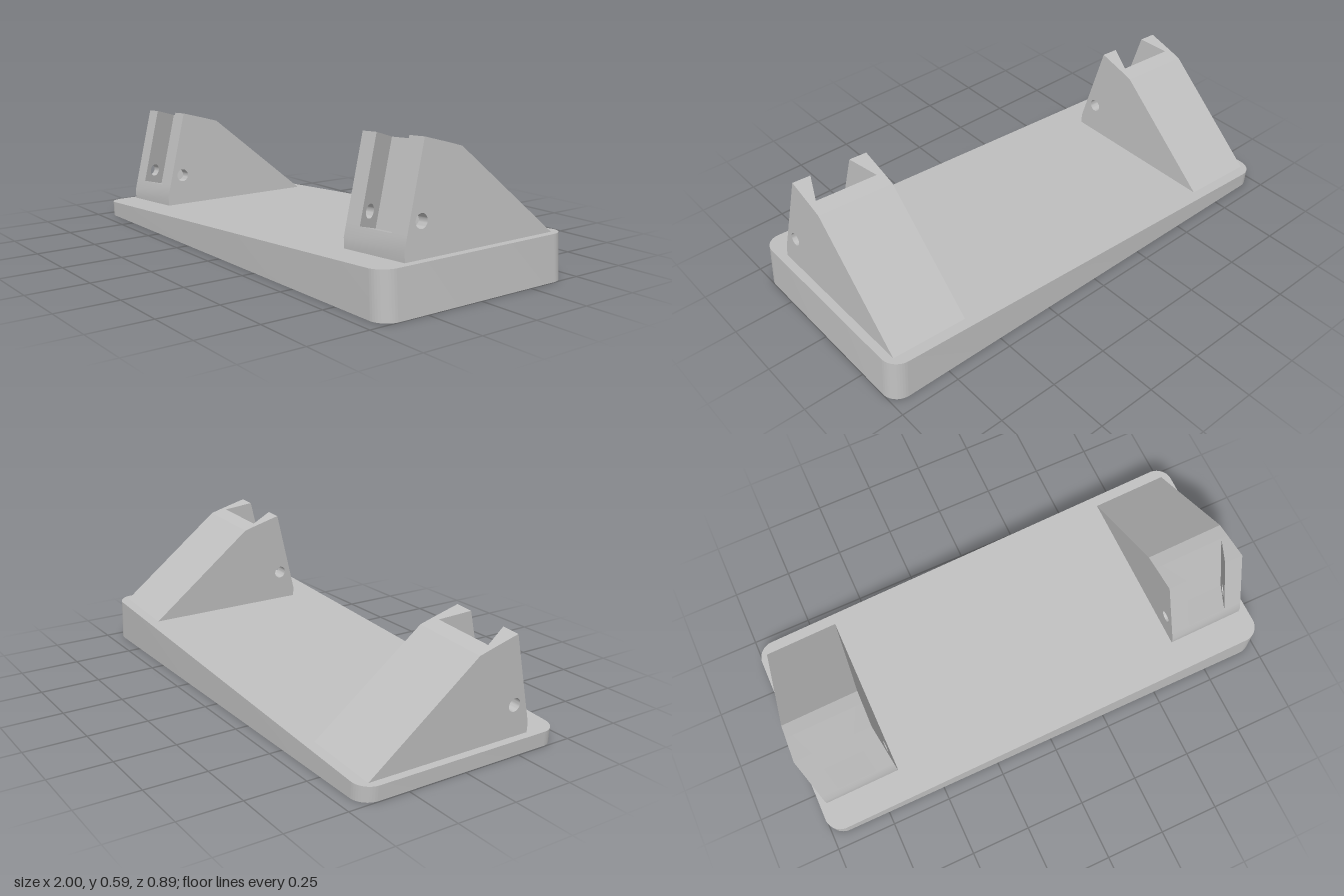
import * as THREE from 'three';
import { toCreasedNormals } from 'three/addons/utils/BufferGeometryUtils.js';

const TILT = 0.0604;      // slope of the wedge top
const MID_H = 0.12;       // wedge height at its middle
const LEN = 1.992, HALF_D = 0.445, CORNER = 0.07;
const W = 0.323;          // bracket width

// Bracket side section: X points to the back, Y is height above the base
const v = (x, y) => new THREE.Vector2(x, y);
const along = v(0.261, 0.965), inward = v(0.965, -0.261);
const DEPTH = 0.114;
const topFront = v(-0.215, 0.41);
const floorFront = topFront.clone().addScaledVector(along, -0.334);
const topBack = topFront.clone().addScaledVector(inward, DEPTH);
const floorBack = floorFront.clone().addScaledVector(inward, DEPTH);

function mapVertices(geo, fn) {
  const p = geo.attributes.position, q = new THREE.Vector3();
  for (let i = 0; i < p.count; i++) {
    q.fromBufferAttribute(p, i);
    fn(q);
    p.setXYZ(i, q.x, q.y, q.z);
  }
  return toCreasedNormals(geo, 0.6);
}

function extrude(shape, depth) {
  return new THREE.ExtrudeGeometry(shape, { depth, bevelEnabled: false, curveSegments: 16 });
}

// Rounded slab whose underside is cut level with the ground
function baseGeometry() {
  const a = LEN / 2, b = HALF_D, r = CORNER, s = new THREE.Shape();
  s.absarc(a - r, b - r, r, 0, Math.PI / 2);
  s.absarc(-a + r, b - r, r, Math.PI / 2, Math.PI);
  s.absarc(-a + r, -b + r, r, Math.PI, Math.PI * 1.5);
  s.absarc(a - r, -b + r, r, Math.PI * 1.5, Math.PI * 2);
  s.closePath();
  const geo = extrude(s, 1).rotateX(-Math.PI / 2);
  return mapVertices(geo, (q) => {
    q.y = q.y > 0.5 ? 0 : -(MID_H + q.x * Math.sin(TILT)) / Math.cos(TILT);
  });
}

// Solid part of the bracket under and behind the pocket
function bodyGeometry() {
  const s = new THREE.Shape([
    v(-0.315, 0), v(0.4, 0), v(-0.045, 0.363),
    topBack, floorBack, floorFront, v(-0.315, 0.04),
  ]);
  return toCreasedNormals(extrude(s, W).rotateY(Math.PI / 2), 0.3);
}

// Side cheek with a pin hole, thinning toward the back to form a dovetail
function cheekGeometry(side) {
  const s = new THREE.Shape([floorFront, floorBack, topBack, topFront]);
  const hole = new THREE.Path();
  hole.absarc(-0.237, 0.13, 0.027, 0, Math.PI * 2, true);
  s.holes.push(hole);
  const geo = extrude(s, 1).rotateY(Math.PI / 2);
  return mapVertices(geo, (q) => {
    const d = v(-q.z, q.y).sub(topFront).dot(inward) / DEPTH;
    const wide = THREE.MathUtils.lerp(0.0765, 0.029, d);
    q.x = side < 0 ? q.x * wide : W - (1 - q.x) * wide;
  });
}

export function createModel() {
  const grey = new THREE.MeshStandardMaterial({ color: 0xc0c0c0 });
  grey.name = 'lightGrey';
  const model = new THREE.Group();
  model.name = 'wedgeStand';

  // Everything sits in the tilted frame of the wedge top
  const tilted = new THREE.Group();
  tilted.name = 'tiltedFrame';
  tilted.rotation.z = TILT;
  tilted.position.set(-0.006, MID_H, 0);
  model.add(tilted);

  const add = (parent, name, geo) => {
    const mesh = new THREE.Mesh(geo, grey);
    mesh.name = name;
    parent.add(mesh);
  };
  add(tilted, 'wedgeBase', baseGeometry());

  const body = bodyGeometry(), low = cheekGeometry(-1), high = cheekGeometry(1);
  for (const [name, x] of [['rightBracket', -0.965], ['leftBracket', 0.638]]) {
    const bracket = new THREE.Group();
    bracket.name = name;
    bracket.position.x = x;
    add(bracket, 'bracketBody', body);
    add(bracket, 'rightCheek', low);
    add(bracket, 'leftCheek', high);
    tilted.add(bracket);
  }
  return model;
}
